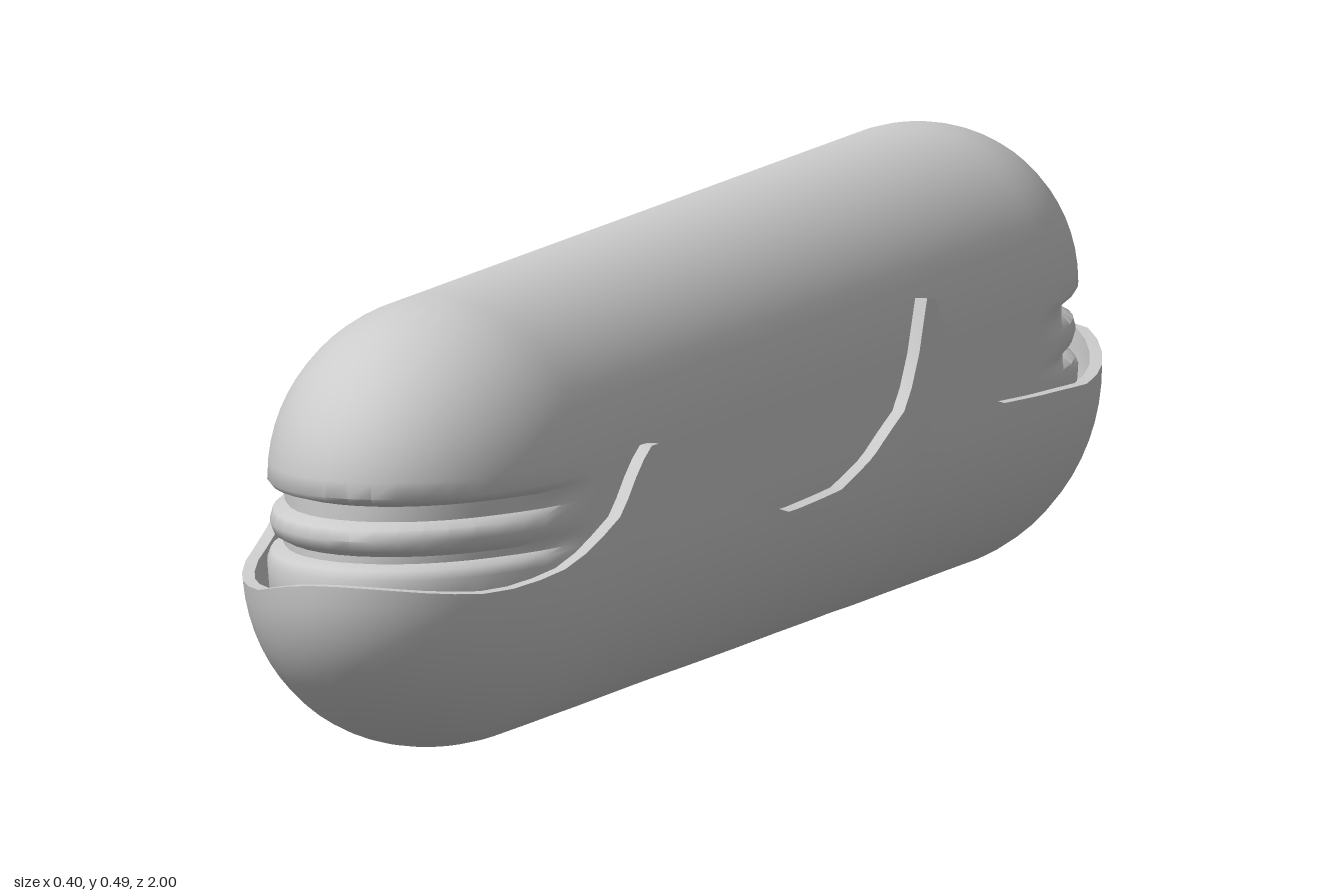
import * as THREE from 'three';
import { toCreasedNormals } from 'three/addons/utils/BufferGeometryUtils.js';

const STRAIGHT = 0.7; // half length of the straight sides, before the round ends
const SIDE = 64, CAP = 20;

// Unit outline of a long rounded body: x factor, end-cap factor and base z.
function outline() {
  const pts = [];
  for (const s of [1, -1]) {
    for (let i = 0; i < SIDE; i++) pts.push([s, 0, s * STRAIGHT * (2 * i / SIDE - 1)]);
    for (let i = 0; i < CAP; i++) {
      const t = Math.PI * i / CAP;
      pts.push([s * Math.cos(t), s * Math.sin(t), s * STRAIGHT]);
    }
  }
  return pts;
}

// Skins rows of points, each row following the outline once round.
function loft(rows, point, crease) {
  const ring = outline(), n = ring.length, pos = [], index = [];
  for (let r = 0; r < rows; r++) {
    for (const p of ring) pos.push(...point(r, p));
    if (r === rows - 1) break;
    for (let c = 0; c < n; c++) {
      const a = r * n + c, b = r * n + (c + 1) % n;
      index.push(a, a + n, b, b, a + n, b + n);
    }
  }
  const g = new THREE.BufferGeometry();
  g.setAttribute('position', new THREE.Float32BufferAttribute(pos, 3));
  g.setIndex(index);
  return toCreasedNormals(g, crease);
}

function interpolate(table, z) {
  for (let i = 1; i < table.length; i++) {
    const [z0, y0] = table[i - 1], [z1, y1] = table[i];
    if (z <= z1) return y0 + (y1 - y0) * Math.max(0, (z - z0) / (z1 - z0));
  }
  return table[table.length - 1][1];
}

// Wrapper rim heights along z, for each side
const rimLeft = [[-1, 0.245], [-0.95, 0.25], [-0.85, 0.225], [-0.75, 0.215], [-0.6, 0.222], [-0.48, 0.23],
  [-0.4, 0.25], [-0.33, 0.285], [-0.295, 0.37], [-0.26, 0.375], [-0.235, 0.3], [-0.2, 0.26], [-0.1, 0.222],
  [0, 0.2], [0.15, 0.195], [0.35, 0.245], [0.45, 0.278], [0.51, 0.31], [0.56, 0.33], [0.6, 0.308],
  [0.65, 0.26], [0.72, 0.237], [0.8, 0.217], [0.9, 0.205], [1, 0.217]];
const rimRight = [[-1, 0.245], [-0.95, 0.24], [-0.8, 0.2], [-0.6, 0.16], [-0.42, 0.12], [-0.27, 0.115],
  [-0.17, 0.16], [0, 0.18], [0.08, 0.25], [0.14, 0.3], [0.27, 0.25], [0.42, 0.2], [0.5, 0.24],
  [0.58, 0.29], [0.64, 0.27], [0.72, 0.22], [0.85, 0.198], [0.95, 0.197], [1, 0.217]];

function makeBun() {
  // Profile rows: half width, height, groove depth
  const rows = [];
  for (let i = 0; i < 10; i++) {
    const a = Math.PI / 2 * i / 10;
    rows.push([0.17 * Math.sin(a), 0.22 - 0.19 * Math.cos(a), 0]);
  }
  // Two grooves with a layer of filling between them
  for (const [y, d] of [[0.22, 0], [0.23, 0.2], [0.235, 0.9], [0.243, 0.9], [0.25, 0.35], [0.262, 0.15],
    [0.274, 0.3], [0.281, 1], [0.298, 1], [0.304, 0.2]]) rows.push([0.17, y, d]);
  for (let i = 0; i <= 16; i++) {
    const a = Math.PI / 2 * i / 16;
    rows.push([0.17 * Math.cos(a), 0.31 + 0.187 * Math.sin(a), 0]);
  }
  return loft(rows.length, (r, [x, cap, z0]) => {
    const [w, y, d] = rows[r];
    const z = z0 + cap * 0.27 * w / 0.17;
    const k = 1 - d * 0.12 * THREE.MathUtils.smoothstep(Math.abs(z), 0.65, 0.88);
    return [w * x * k, y, z0 + (z - z0) * k];
  }, 0.9);
}

function makeWrapper() {
  const N = 16;
  // Outer skin runs up to the rim, inner skin runs back down
  return loft(2 * N + 2, (r, [x, cap, z0]) => {
    const inner = r > N, t = (inner ? 2 * N + 1 - r : r) / N;
    const thick = inner ? 0.014 : 0;
    const zEnd = z0 + cap * 0.3;
    const blend = (x + 1) / 2;
    const rim = THREE.MathUtils.lerp(interpolate(rimRight, zEnd), interpolate(rimLeft, zEnd), blend);
    // Even steps round the bowl, then straight up the wall
    const full = rim > 0.22 ? Math.PI / 2 + (rim - 0.22) / 0.215 : Math.acos((0.22 - rim) / 0.215);
    const a = full * t, b = Math.min(a, Math.PI / 2);
    const y = a > b ? 0.22 + (a - b) * 0.215 : 0.22 - (0.215 - thick) * Math.cos(b);
    const s = Math.pow(Math.sin(b), 0.93);
    const crumple = 0.003 * Math.sin(z0 * 13 + x) * (1 - Math.abs(cap)) * s;
    return [(0.197 - thick + crumple) * s * x, y, z0 + cap * (0.3 - thick) * s];
  }, 0.8);
}

export function createModel() {
  const group = new THREE.Group();
  const material = new THREE.MeshStandardMaterial({ color: 0xcccccc, side: THREE.DoubleSide });
  for (const [name, geometry] of [['bun', makeBun()], ['wrapper', makeWrapper()]]) {
    const mesh = new THREE.Mesh(geometry, material);
    mesh.name = name;
    group.add(mesh);
  }
  // Rest the wrapper on the ground
  group.position.y = -new THREE.Box3().setFromObject(group).min.y;
  return group;
}
